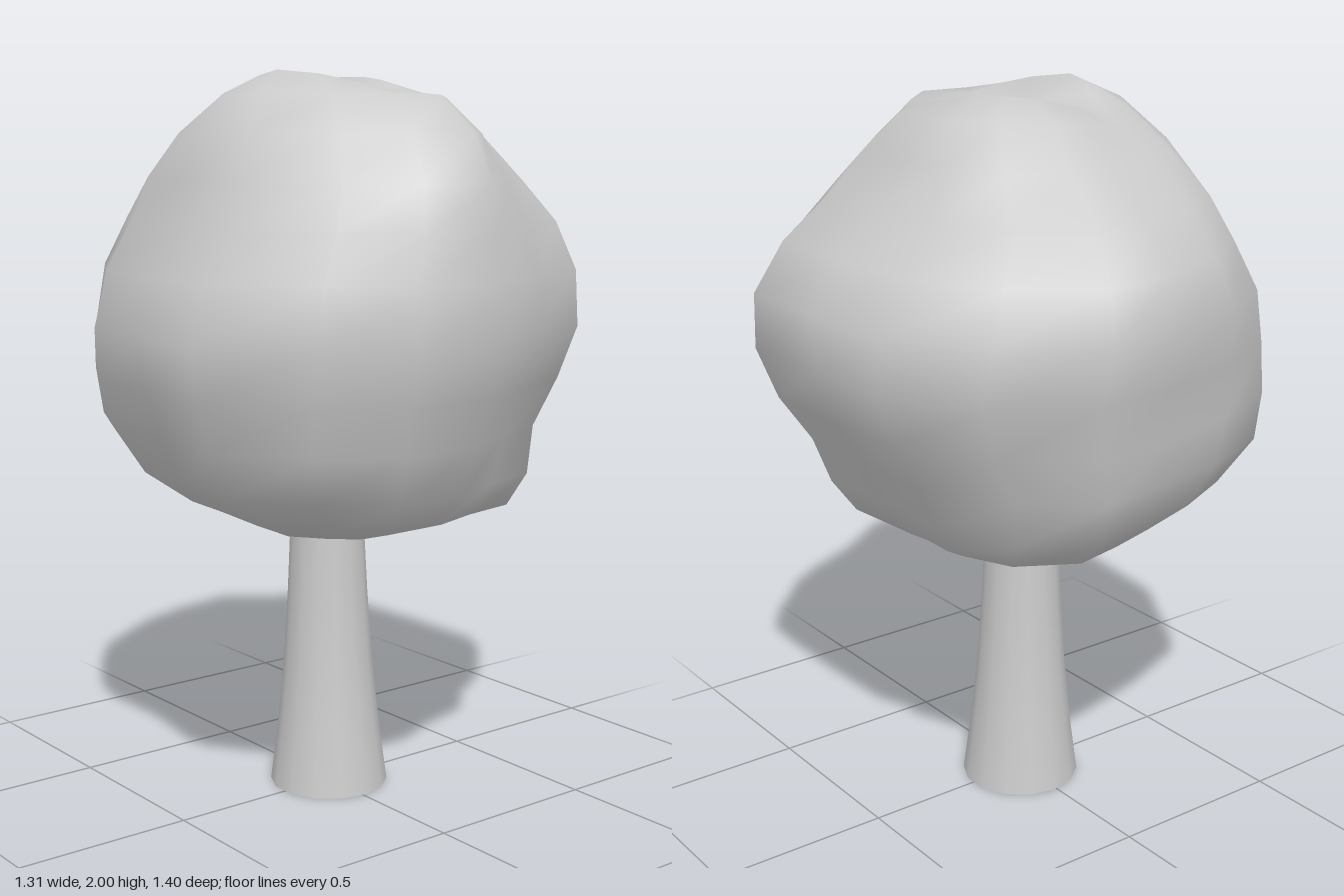
import * as THREE from 'three';

const material = new THREE.MeshStandardMaterial({ color: 0xcccccc, side: THREE.DoubleSide });

// Widest plan outline of the crown as [x, z], from the left side round by the front
const outline = [
  [0.65, 0], [0.65, 0.3], [0.45, 0.51], [0.22, 0.6], [0, 0.7], [-0.26, 0.685], [-0.45, 0.53], [-0.65, 0.29],
  [-0.62, 0], [-0.59, -0.25], [-0.455, -0.47], [-0.24, -0.6], [0, -0.67], [0.25, -0.7], [0.49, -0.54], [0.635, -0.28],
];

// Crown levels: height, then reach towards -x, +x, +z and -z
const levels = [
  [0.85, 0.1, 0.1, 0.1, 0.11],
  [0.795, 0.14, 0.14, 0.15, 0.15],
  [0.772, 0.22, 0.27, 0.26, 0.24],
  [0.84, 0.38, 0.37, 0.47, 0.44],
  [0.93, 0.5, 0.44, 0.55, 0.55],
  [1.06, 0.57, 0.51, 0.6, 0.62],
  [1.19, 0.62, 0.6, 0.65, 0.645],
  [1.33, 0.655, 0.65, 0.7, 0.665],
  [1.48, 0.61, 0.65, 0.685, 0.7],
  [1.61, 0.535, 0.565, 0.665, 0.645],
  [1.72, 0.5, 0.44, 0.65, 0.54],
  [1.84, 0.45, 0.37, 0.59, 0.39],
  [1.935, 0.36, 0.29, 0.46, 0.28],
  [1.975, 0.24, 0.18, 0.22, 0.16],
];

// Swellings and hollows of the corners: direction, height, height spread, amount
const lumps = [
  [0.8, 0.83, 0.14, 0.18],
  [-2.4, 1.06, 0.2, 0.12],
  [-0.83, 0.87, 0.12, 0.09],
  [2.3, 0.98, 0.15, 0.07],
  [2.2, 1.85, 0.1, -0.06],
  [0.75, 1.9, 0.16, -0.18],
  [-2.4, 1.95, 0.1, -0.2],
];

// Knobs and dips on the top: x, z, height
const knobs = [[-0.2, 0.07, 0.03], [0.14, -0.08, 0.02], [0.08, 0.18, -0.035], [-0.15, -0.15, -0.04]];

const bell = (d, spread) => Math.exp(-((d / spread) ** 2));

function createCrown() {
  const n = outline.length;
  const positions = [];
  const index = [];
  for (const [y, left, right, front, back] of levels) {
    for (const [x, z] of outline) {
      const angle = Math.atan2(z, x);
      let swell = 1;
      for (const [dir, height, spread, amount] of lumps) {
        swell += amount * bell(angle - dir, 0.45) * bell(y - height, spread);
      }
      const px = x * (x < 0 ? left : right) / 0.65 * swell;
      const pz = z * (z > 0 ? front : back) / 0.7 * swell;
      let py = y;
      if (y > 1.9) for (const [kx, kz, h] of knobs) py += h * bell(Math.hypot(px - kx, pz - kz), 0.14);
      positions.push(px, py, pz);
    }
  }
  for (let j = 0; j < levels.length - 1; j++) {
    for (let i = 0; i < n; i++) {
      const a = j * n + i, b = j * n + (i + 1) % n;
      index.push(a, a + n, b, b, a + n, b + n);
    }
  }
  // Close the hollowed underside and the dipped top
  const bottom = positions.length / 3, top = bottom + 1, last = (levels.length - 1) * n;
  positions.push(0, 0.87, 0, 0, 1.95, 0);
  for (let i = 0; i < n; i++) {
    const k = (i + 1) % n;
    index.push(bottom, i, k, top, last + k, last + i);
  }
  const geometry = new THREE.BufferGeometry();
  geometry.setAttribute('position', new THREE.Float32BufferAttribute(positions, 3));
  geometry.setIndex(index);
  geometry.computeVertexNormals();
  const mesh = new THREE.Mesh(geometry, material);
  mesh.name = 'crown';
  return mesh;
}

// Flared trunk, open at the foot
function createTrunk() {
  const profile = [[0.167, 0], [0.145, 0.17], [0.126, 0.36], [0.113, 0.56], [0.103, 0.77], [0.1, 0.87]];
  const geometry = new THREE.LatheGeometry(profile.map(([r, y]) => new THREE.Vector2(r, y)), 14);
  const p = geometry.attributes.position;
  for (let i = 0; i < p.count; i++) {
    p.setX(i, p.getX(i) + 0.007 * (1 - p.getY(i) / 0.87));
    p.setZ(i, p.getZ(i) - 0.008);
  }
  const mesh = new THREE.Mesh(geometry, material);
  mesh.name = 'trunk';
  return mesh;
}

export function createModel() {
  const tree = new THREE.Group();
  tree.name = 'tree';
  tree.add(createTrunk(), createCrown());
  return tree;
}
